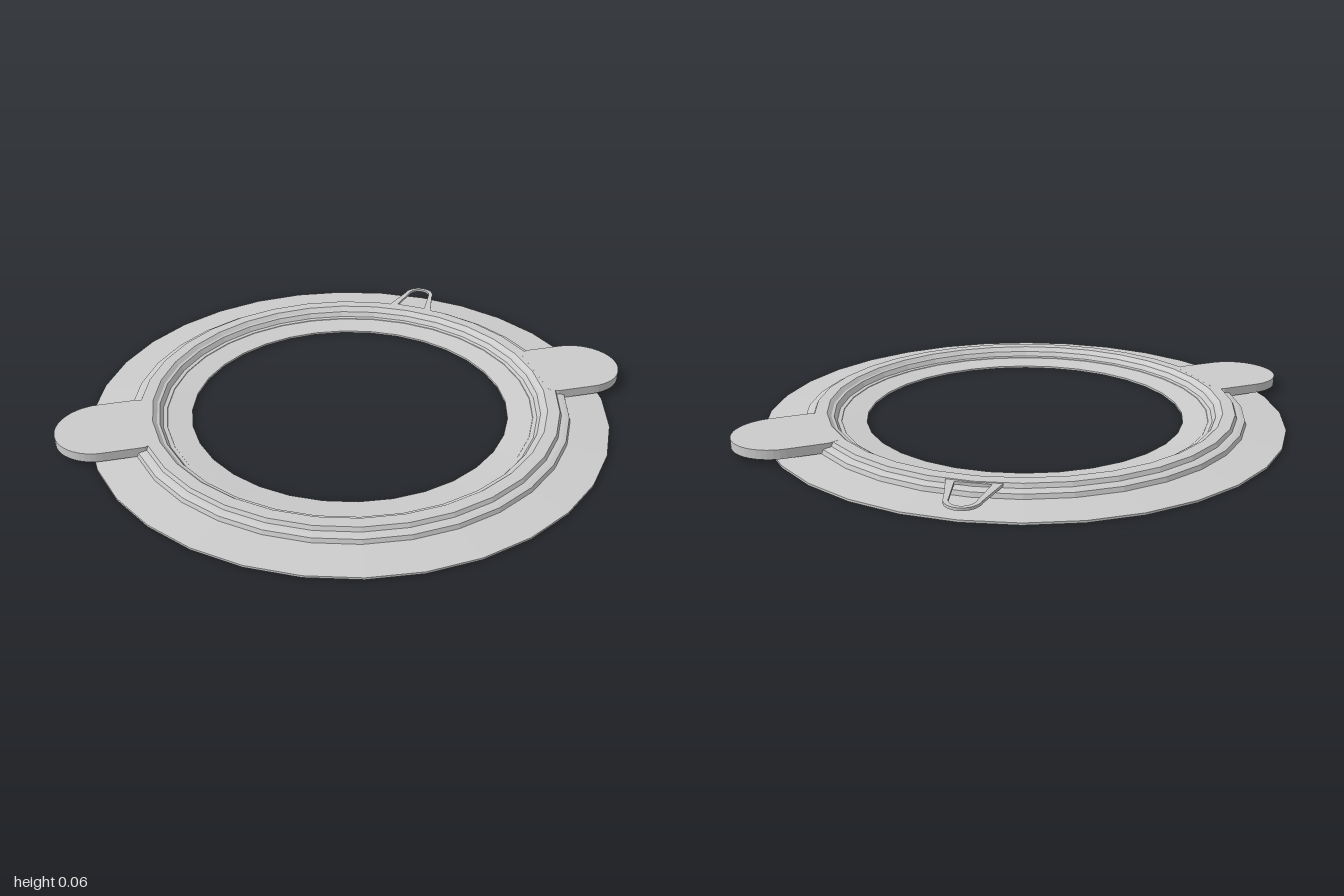
import * as THREE from 'three';

const SIDES = 32;
const material = new THREE.MeshStandardMaterial({ color: 0xcccccc, flatShading: true, side: THREE.DoubleSide });

// Closed ring turned from [radius, height] pairs
function ring(name, profile) {
  const points = [...profile, profile[0]].map(([r, y]) => new THREE.Vector2(r, y));
  const mesh = new THREE.Mesh(new THREE.LatheGeometry(points, SIDES), material);
  mesh.name = name;
  return mesh;
}

// Flat plate: shape drawn in plan (shape y points to the back), lying between two heights
function plate(name, shape, bottom, top) {
  const geometry = new THREE.ExtrudeGeometry(shape, { depth: top - bottom, bevelEnabled: false, curveSegments: 12 });
  geometry.rotateX(-Math.PI / 2).translate(0, bottom, 0);
  const mesh = new THREE.Mesh(geometry, material);
  mesh.name = name;
  return mesh;
}

// Tapered outline with a round far end, used for the loop and its opening
function archOutline(path, halfBase, base, halfTip, tipStart, tip) {
  path.moveTo(-halfBase, base);
  path.lineTo(halfBase, base);
  path.lineTo(halfTip, tipStart);
  path.absellipse(0, tipStart, halfTip, tip - tipStart, 0, Math.PI, false, 0);
  path.closePath();
  return path;
}

export function createModel() {
  const model = new THREE.Group();
  model.name = 'flangeRing';

  // Thin base, slightly thicker towards the coupling
  model.add(ring('baseFlange', [
    [0.61, 0], [0.992, 0], [0.992, 0.008], [0.85, 0.018], [0.70, 0.018], [0.61, 0.008],
  ]));

  // Raised stepped collar
  model.add(ring('couplingCollar', [
    [0.70, 0.012], [0.847, 0.012], [0.84, 0.034], [0.825, 0.038], [0.81, 0.04],
    [0.803, 0.055], [0.757, 0.055], [0.742, 0.042], [0.732, 0.04], [0.72, 0.022], [0.705, 0.02],
  ]));

  // Two opposite pull tabs with round ends
  for (const [name, angle] of [['leftTab', 33.8], ['rightTab', 213.8]]) {
    const w = 0.165, end = 0.95;
    const shape = new THREE.Shape();
    shape.moveTo(0.765, -w * 0.9);
    shape.lineTo(0.80, -w);
    shape.lineTo(end, -w);
    shape.absarc(end, 0, w, -Math.PI / 2, Math.PI / 2, false);
    shape.lineTo(0.80, w);
    shape.lineTo(0.765, w * 0.9);
    shape.closePath();
    const tab = plate(name, shape, 0.02, 0.0552);
    tab.rotation.y = THREE.MathUtils.degToRad(angle);
    model.add(tab);
  }

  // Open belt loop at the back
  const loop = archOutline(new THREE.Shape(), 0.095, 0.795, 0.062, 0.935, 1.0);
  loop.holes.push(archOutline(new THREE.Path(), 0.062, 0.81, 0.045, 0.935, 0.985));
  model.add(plate('backLoop', loop, 0.042, 0.052));

  return model;
}
